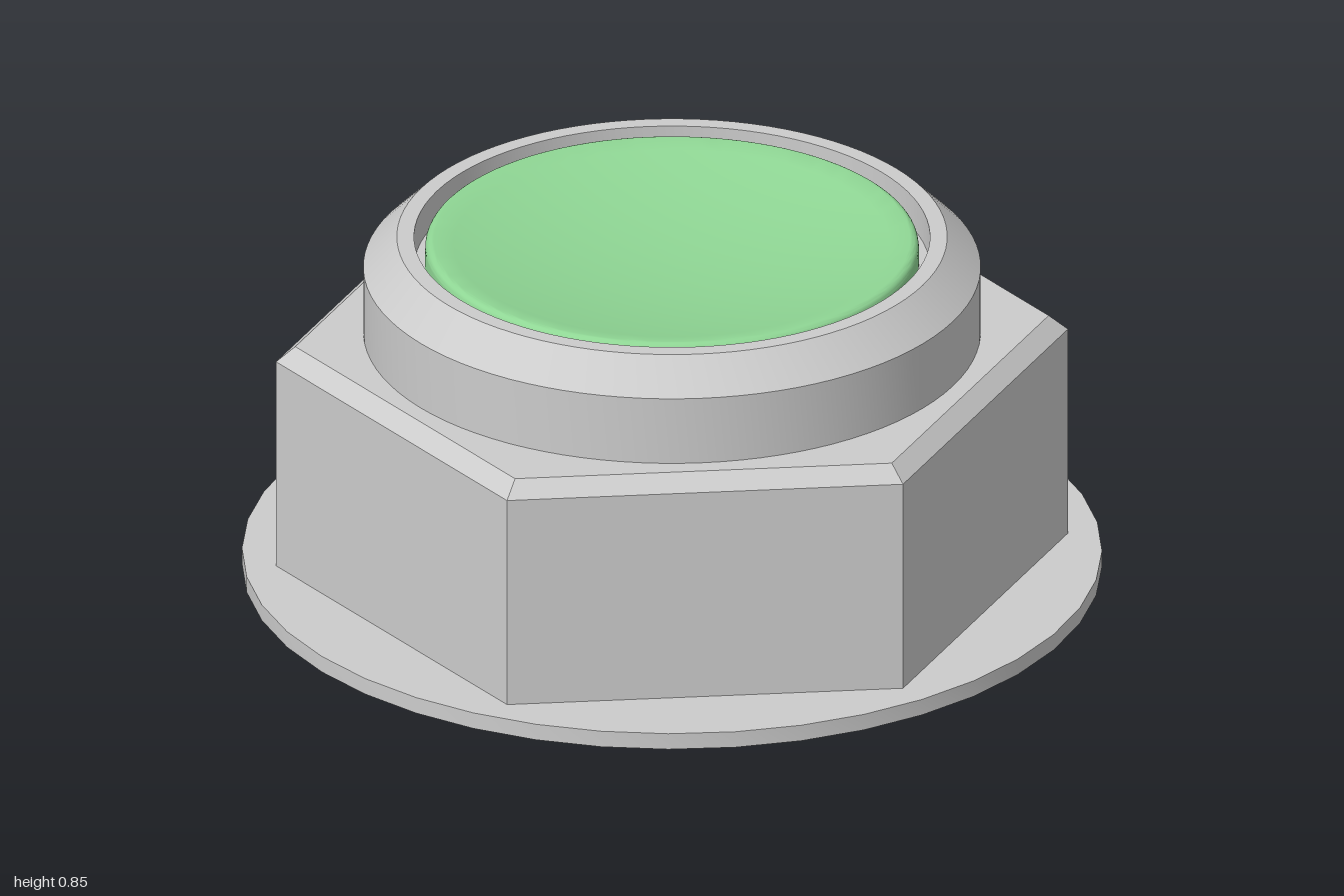
import * as THREE from 'three';
import { toCreasedNormals } from 'three/addons/utils/BufferGeometryUtils.js';

const grey = new THREE.MeshStandardMaterial({ color: 0xcccccc });
const greyFlat = new THREE.MeshStandardMaterial({ color: 0xcccccc, flatShading: true });
const green = new THREE.MeshStandardMaterial({ color: 0x8fd694 });

// Revolved part from a bottom-to-top list of [radius, height]
function turned(name, profile, segments, material, phiStart = 0) {
  const points = profile.map(([r, y]) => new THREE.Vector2(r, y));
  const lathe = new THREE.LatheGeometry(points, segments, phiStart);
  const mesh = new THREE.Mesh(toCreasedNormals(lathe, 0.45), material);
  mesh.name = name;
  return mesh;
}

export function createModel() {
  const group = new THREE.Group();
  group.name = 'pushButton';

  // Thin round mounting flange
  group.add(turned('flange', [[0, 0], [1, 0], [1, 0.04], [0, 0.04]], 40, grey));

  // Hexagonal body with a chamfered top edge, corners on the x axis
  group.add(turned('hexBody',
    [[0.925, 0.04], [0.925, 0.565], [0.88, 0.602], [0, 0.602]], 6, greyFlat, Math.PI / 6));

  // Round collar: bevelled shoulder, flat lip and a narrow groove inside
  group.add(turned('collar',
    [[0.718, 0.6], [0.718, 0.768], [0.64, 0.845], [0.6, 0.845], [0.6, 0.765], [0.56, 0.765]], 96, grey));

  // Button cap: rounded rim and a shallow concave face
  const rim = 0.574, fillet = 0.02, top = 0.838, depth = 0.065;
  const cap = [[rim, 0.76]];
  for (let i = 0; i <= 6; i++) {
    const a = (i / 6) * Math.PI / 2;
    cap.push([rim - fillet + fillet * Math.cos(a), top - fillet + fillet * Math.sin(a)]);
  }
  for (let i = 11; i >= 0; i--) {
    const t = i / 12;
    cap.push([(rim - fillet) * t, top - depth * (1 - t * t)]);
  }
  group.add(turned('buttonCap', cap, 96, green));

  return group;
}
